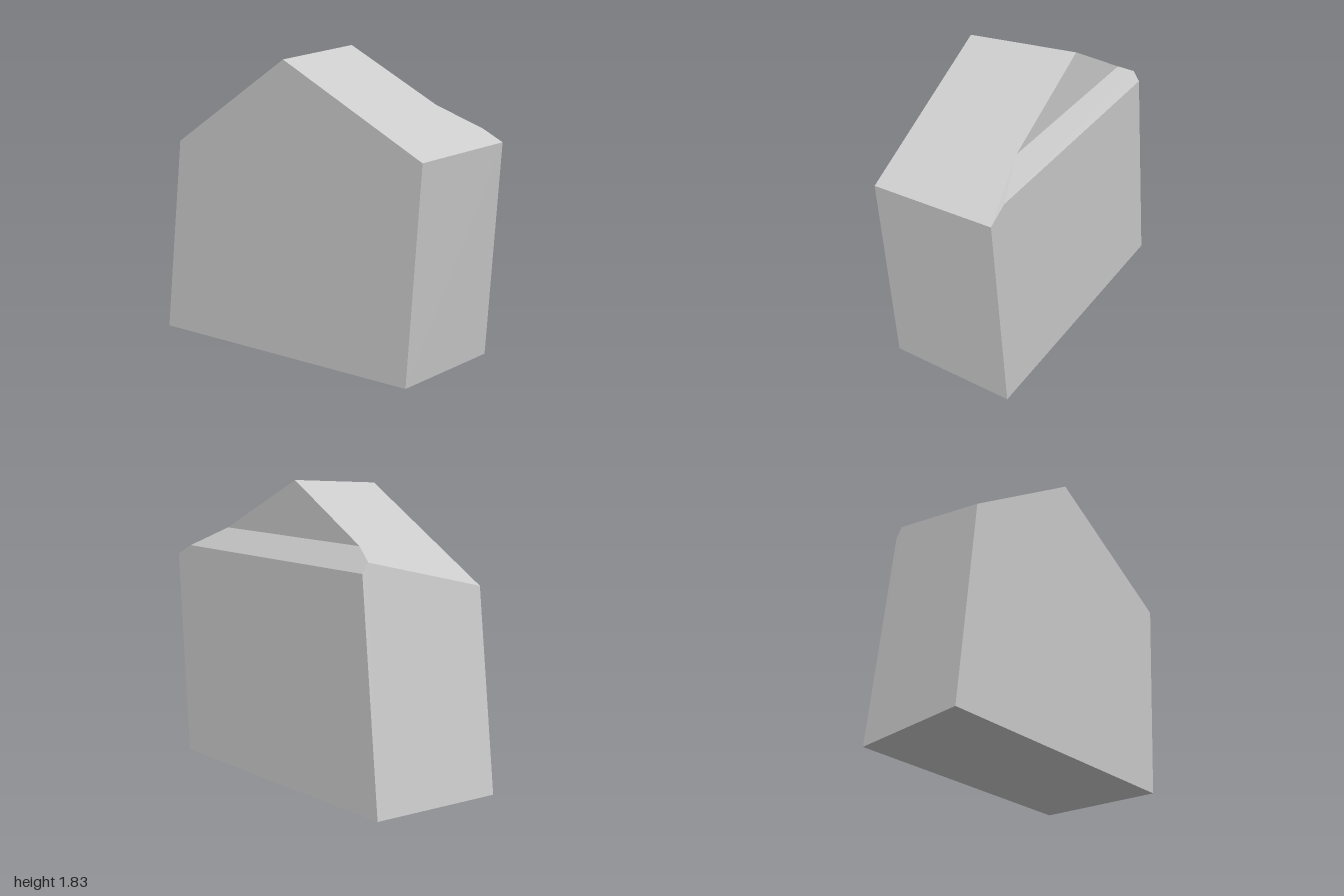
import * as THREE from 'three';

// Corner points of the block
const P = {
  // front outline
  frontLeft: [-1, 0, 0.4], frontRight: [0.885, 0, 0.4],
  eaveRight: [0.975, 1.265, 0.4], ridgeFront: [0.005, 1.77, 0.4], eaveLeft: [-0.855, 1.23, 0.4],
  // back outline
  backLeft: [-0.83, 0, -0.4], backRight: [0.905, 0, -0.4],
  eaveBack: [1, 1.297, -0.378], ridgeBack: [-0.03, 1.825, -0.285],
  // sloped notch behind the roof
  ledgeRight: [0.87, 1.365, -0.377], ledgeLeft: [-0.675, 1.365, -0.377],
  notchLeft: [-0.678, 1.423, -0.335], wallLeft: [-0.56, 1.495, -0.285], wallRight: [0.6, 1.495, -0.285],
};

// Each face is a loop, counter-clockwise from outside, fanned from its first corner
const FACES = {
  frontWall: ['frontLeft', 'frontRight', 'eaveRight', 'ridgeFront', 'eaveLeft'],
  rightWall: ['frontRight', 'backRight', 'eaveBack', 'eaveRight'],
  leftWall: ['backLeft', 'frontLeft', 'eaveLeft', 'notchLeft', 'ledgeLeft'],
  backWall: ['backRight', 'backLeft', 'ledgeLeft', 'ledgeRight', 'eaveBack'],
  rightRoof: ['wallRight', 'ridgeBack', 'ridgeFront', 'eaveRight', 'eaveBack', 'ledgeRight'],
  leftRoof: ['wallLeft', 'notchLeft', 'eaveLeft', 'ridgeFront', 'ridgeBack'],
  notchSlope: ['ledgeRight', 'ledgeLeft', 'notchLeft', 'wallLeft', 'wallRight'],
  backGable: ['wallRight', 'wallLeft', 'ridgeBack'],
  base: ['frontLeft', 'backLeft', 'backRight', 'frontRight'],
};

function faceGeometry(loop) {
  const points = [];
  for (let i = 1; i < loop.length - 1; i++) {
    points.push(...P[loop[0]], ...P[loop[i]], ...P[loop[i + 1]]);
  }
  const geometry = new THREE.BufferGeometry();
  geometry.setAttribute('position', new THREE.Float32BufferAttribute(points, 3));
  geometry.computeVertexNormals();
  return geometry;
}

export function createModel() {
  const model = new THREE.Group();
  model.name = 'gabledBlock';
  const stone = new THREE.MeshStandardMaterial({ color: 0xcccccc });
  stone.name = 'light grey';
  stone.flatShading = true;

  for (const [name, loop] of Object.entries(FACES)) {
    const mesh = new THREE.Mesh(faceGeometry(loop), stone);
    mesh.name = name;
    model.add(mesh);
  }
  return model;
}
